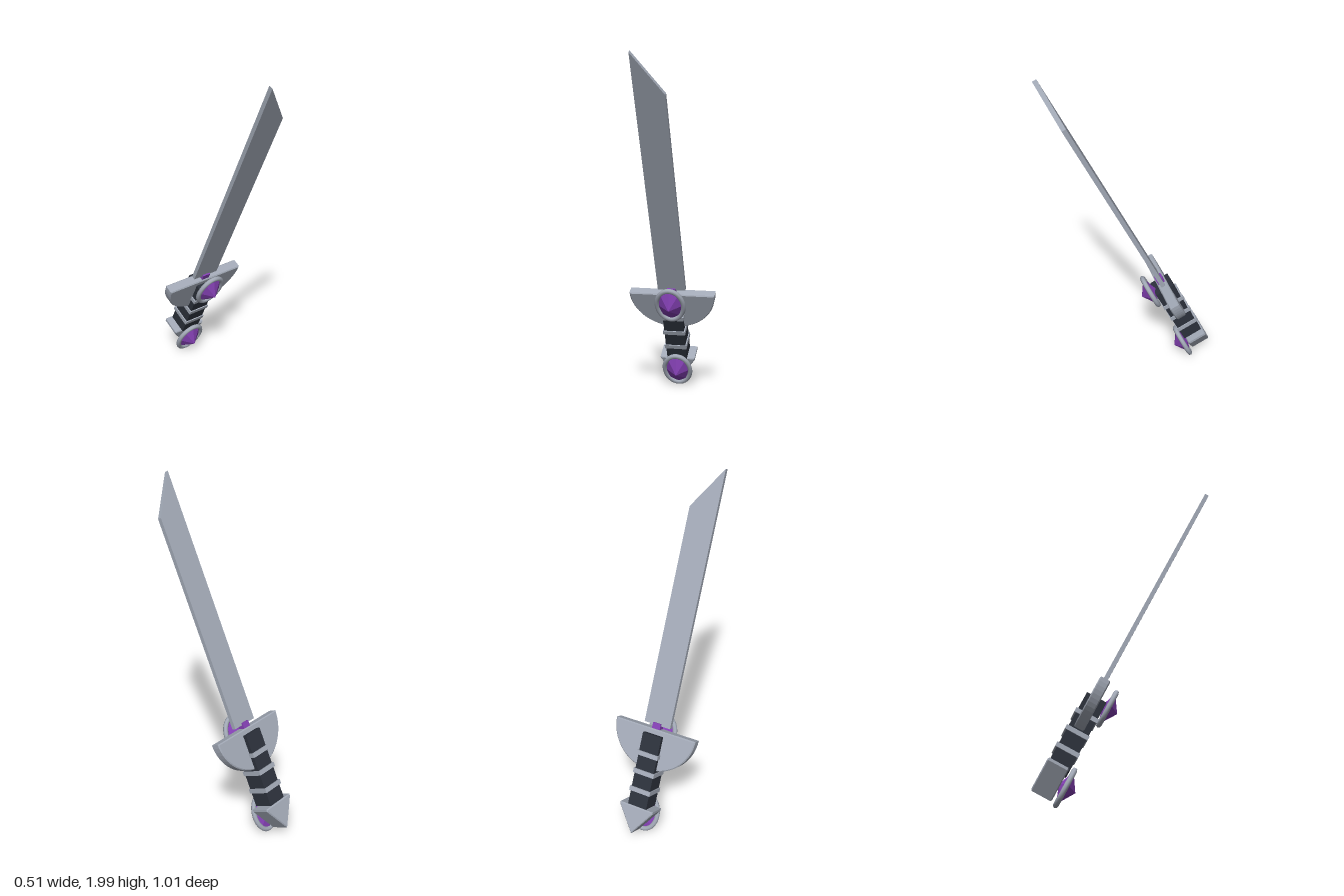
import * as THREE from 'three';

const mat = (name, color) => {
  const m = new THREE.MeshStandardMaterial({ color });
  m.name = name;
  return m;
};

export function createModel() {
  const steel = mat('steel grey', 0xa2a9b6);
  const grip = mat('dark grip', 0x2c313b);
  const purple = mat('purple gem', 0x8440b4);

  // The sword is built upright (y along the blade), then leaned forward
  const sword = new THREE.Group();
  sword.name = 'sword';
  const add = (name, geometry, material, x = 0, y = 0, z = 0) => {
    const mesh = new THREE.Mesh(geometry, material);
    mesh.name = name;
    mesh.position.set(x, y, z);
    sword.add(mesh);
    return mesh;
  };

  // Plate with the outline in x/y, centred in depth, with a small inward bevel
  const plate = (shape, depth, bevel = 0) => {
    const g = new THREE.ExtrudeGeometry(shape, {
      depth: depth - 2 * bevel, curveSegments: 16,
      bevelEnabled: bevel > 0, bevelThickness: bevel, bevelSize: bevel,
      bevelOffset: -bevel, bevelSegments: 1,
    });
    return g.translate(0, 0, bevel - depth / 2);
  };
  const polygon = (pts) => new THREE.Shape(pts.map(([x, y]) => new THREE.Vector2(x, y)));

  // Blade with slanted tip
  add('blade', plate(polygon([[-0.083, 0.005], [0.083, 0.005], [0.083, 1.26], [-0.083, 1.495]]), 0.025), steel);

  // Purple block joining blade and guard
  add('bladeCollar', new THREE.BoxGeometry(0.05, 0.06, 0.044), purple, 0, -0.012, 0);

  // Half-oval guard
  const half = new THREE.Shape();
  half.absellipse(0, 0, 0.257, 0.247, Math.PI, 2 * Math.PI, false);
  half.closePath();
  add('guard', plate(half, 0.06, 0.006), steel, 0, -0.017, 0);

  // Grip and its bands
  add('handle', new THREE.BoxGeometry(0.12, 0.44, 0.12), grip, 0, -0.268, 0.005);
  for (const y of [-0.17, -0.28, -0.39]) {
    add('handleBand', new THREE.BoxGeometry(0.134, 0.026, 0.136), steel, 0, y, 0.003);
  }

  // Wedge pommel
  add('pommel', plate(polygon([[-0.107, -0.488], [-0.107, -0.503], [0, -0.655], [0.107, -0.503], [0.107, -0.488]]), 0.122, 0.006),
    steel, 0, 0, -0.004);

  // Oval ring settings, each holding a faceted gem
  for (const y of [-0.052, -0.555]) {
    const ring = new THREE.CatmullRomCurve3(
      Array.from({ length: 16 }, (_, i) => {
        const a = (i / 16) * Math.PI * 2;
        return new THREE.Vector3(0.079 * Math.cos(a), 0.104 * Math.sin(a), 0);
      }), true);
    add('gemRing', new THREE.TubeGeometry(ring, 40, 0.0145, 8, true), steel, 0, y, 0.086);

    const gem = new THREE.LatheGeometry(
      [[0, -0.035], [1, 0], [0, 0.062]].map(([r, h]) => new THREE.Vector2(r, h)), 8);
    gem.rotateX(Math.PI / 2).scale(0.076, 0.1, 1);
    const flat = gem.toNonIndexed();
    flat.computeVertexNormals();
    add('gem', flat, purple, 0, y, 0.084);
  }

  sword.rotation.x = THREE.MathUtils.degToRad(25.9);
  sword.position.set(0, 0.65, -0.167);

  const model = new THREE.Group();
  model.name = 'model';
  model.add(sword);
  return model;
}
